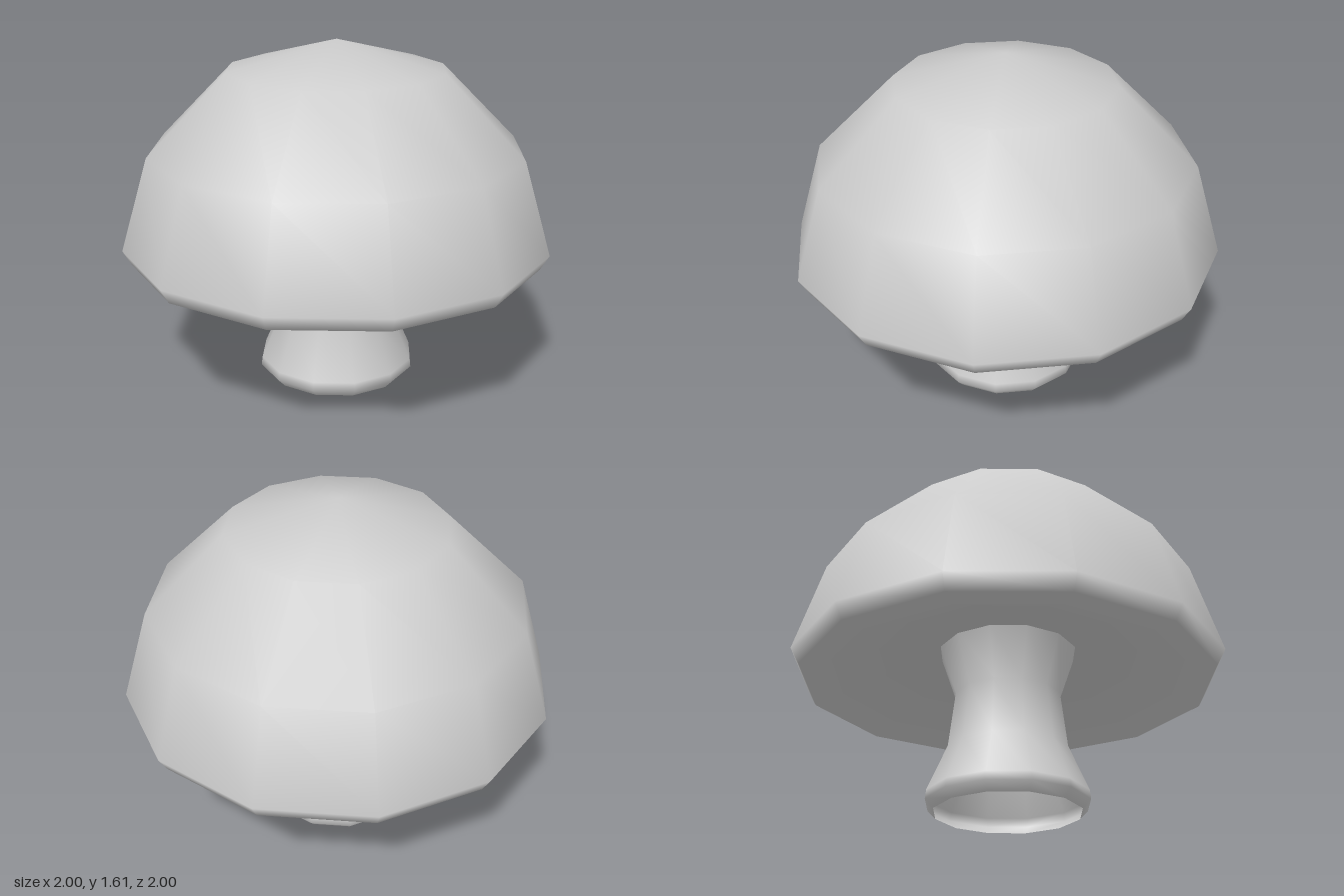
import * as THREE from 'three';

const SIDES = 12;

// Twelve-sided turned part with smooth normals, upright at the poles
function turned(name, profile) {
  const geometry = new THREE.LatheGeometry(profile.map(([r, y]) => new THREE.Vector2(r, y)), SIDES);
  const { position, normal } = geometry.attributes;
  for (let i = 0; i < position.count; i++) {
    if (Math.hypot(position.getX(i), position.getZ(i)) < 1e-4) {
      normal.setXYZ(i, 0, Math.sign(normal.getY(i)), 0);
    }
  }
  const material = new THREE.MeshStandardMaterial({ color: 0xcccccc, side: THREE.DoubleSide });
  const mesh = new THREE.Mesh(geometry, material);
  mesh.name = name;
  return mesh;
}

export function createModel() {
  const group = new THREE.Group();
  group.name = 'mushroom';

  // Hollow stem: open foot, narrow waist, flared top meeting the underside
  group.add(turned('stem', [
    [0.335, 0], [0.373, 0.04], [0.368, 0.08], [0.277, 0.29], [0.245, 0.55], [0.325, 0.78],
  ]));

  // Cap: recessed underside, flat lip, turned-in rim, then the dome
  group.add(turned('cap', [
    [0, 0.775], [0.325, 0.77], [0.8, 0.69], [0.85, 0.61], [0.96, 0.61],
    [1, 0.68], [0.871, 1.11], [0.505, 1.477], [0, 1.61],
  ]));

  return group;
}
